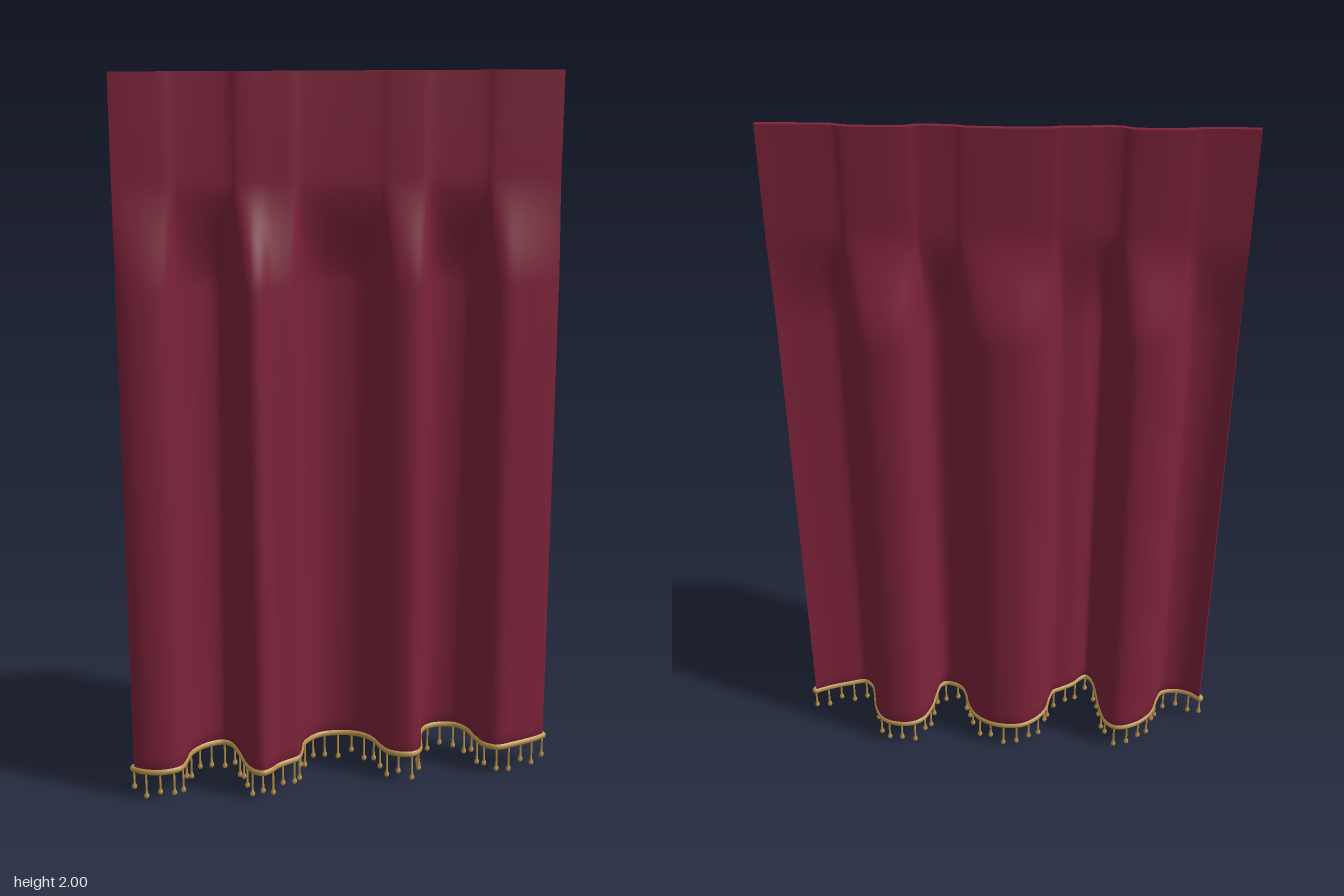
import * as THREE from 'three';

const velvet = new THREE.MeshStandardMaterial({ color: 0x7c2239 });
velvet.name = 'burgundy velvet';
const gold = new THREE.MeshStandardMaterial({ color: 0xb8924a });
gold.name = 'gold trim';

// Hem outline as x, z pairs from the right end to the left end
const HEM = [
  [-0.6, 0.015], [-0.57, 0.038], [-0.52, 0.05], [-0.475, 0.038], [-0.455, 0], [-0.44, -0.045],
  [-0.405, -0.085], [-0.36, -0.107], [-0.33, -0.108], [-0.308, -0.09], [-0.295, -0.05],
  [-0.286, 0], [-0.278, 0.055], [-0.264, 0.092], [-0.245, 0.106], [-0.224, 0.095],
  [-0.2, 0.07], [-0.165, 0.05], [-0.137, 0.034], [-0.123, 0], [-0.112, -0.045], [-0.085, -0.082],
  [-0.045, -0.107], [0, -0.111], [0.045, -0.102], [0.085, -0.077], [0.11, -0.035],
  [0.12, 0.008], [0.14, 0.047], [0.19, 0.067], [0.215, 0.052], [0.228, 0.005],
  [0.238, -0.045], [0.26, -0.09], [0.29, -0.108], [0.33, -0.11], [0.37, -0.096],
  [0.395, -0.055], [0.405, 0], [0.418, 0.045], [0.447, 0.068], [0.5, 0.057], [0.56, 0.038], [0.6, 0.02],
];
const hemCurve = new THREE.CatmullRomCurve3(HEM.map(([x, z]) => new THREE.Vector3(x, 0, z)), false, 'centripetal');
hemCurve.arcLengthDivisions = 1000;

const BOTTOM = 0.09, HALF_THICK = 0.006, SEGMENTS = 200;

// Fold depth at a height: almost flat header, then pleats opening towards the hem
function foldDepth(y) {
  const flat = 0.06, open = 0.72;
  if (y < 1.45) return THREE.MathUtils.lerp(1, open, (y - BOTTOM) / (1.45 - BOTTOM));
  const t = Math.min((y - 1.45) / 0.26, 1);
  return THREE.MathUtils.lerp(open, flat, 0.45 * t + 0.55 * t * t * (3 - 2 * t));
}

// Cloth: front and back sheets joined round the hem; header and side edges closed by crisp strips
function clothGeometry() {
  const heights = [2, 1.98, 1.85, 1.75];
  for (let y = 1.72; y > 1.4; y -= 0.02) heights.push(y);
  for (let y = 1.36; y > 0.16; y -= 0.1) heights.push(y);
  heights.push(0.13, BOTTOM);
  const base = hemCurve.getSpacedPoints(SEGMENTS);
  const rowPoints = (y, side) => {
    const k = foldDepth(y);
    return base.map((p, i) => {
      const a = base[Math.max(i - 1, 0)], b = base[Math.min(i + 1, SEGMENTS)];
      const dx = b.x - a.x, dz = (b.z - a.z) * k, len = Math.hypot(dx, dz);
      const x = p.x - side * HALF_THICK * dz / len;
      return [THREE.MathUtils.clamp(x, -0.6, 0.6), y, p.z * k + side * HALF_THICK * dx / len];
    });
  };
  const rows = [
    ...heights.map((y) => rowPoints(y, 1)),
    ...heights.slice().reverse().map((y) => rowPoints(y, -1)),
  ];
  const positions = [], index = [];
  const addGrid = (grid) => {
    const start = positions.length / 3, n = grid[0].length;
    grid.forEach((row) => row.forEach((p) => positions.push(...p)));
    for (let j = 0; j < grid.length - 1; j++) {
      for (let i = 0; i < n - 1; i++) {
        const a = start + j * n + i, c = a + n;
        index.push(a, c, a + 1, a + 1, c, c + 1);
      }
    }
  };
  addGrid(rows);
  addGrid([rows[rows.length - 1], rows[0]]);
  const count = heights.length, last = rows.length - 1;
  const edge = (i, flip) => heights.map((_, j) => {
    const pair = [rows[j][i], rows[last - j][i]];
    return flip ? pair.reverse() : pair;
  });
  addGrid(edge(SEGMENTS, false).slice(0, count));
  addGrid(edge(0, true).slice(0, count));
  const geo = new THREE.BufferGeometry();
  geo.setAttribute('position', new THREE.Float32BufferAttribute(positions, 3));
  geo.setIndex(index);
  geo.computeVertexNormals();
  return geo;
}

// Tassel hanging down from its origin: thin cord with a knob at the end
function tasselGeometry(length) {
  const profile = [
    [0, -length], [0.005, -length + 0.001], [0.0075, -length + 0.006], [0.0065, -length + 0.012],
    [0.0035, -length + 0.017], [0.003, -length + 0.03], [0.003, 0],
  ];
  return new THREE.LatheGeometry(profile.map(([r, y]) => new THREE.Vector2(r, y)), 8);
}

export function createModel() {
  const model = new THREE.Group();
  model.name = 'curtain';
  const add = (parent, name, geo, material, x = 0, y = 0, z = 0) => {
    const mesh = new THREE.Mesh(geo, material);
    mesh.name = name;
    mesh.position.set(x, y, z);
    parent.add(mesh);
  };

  add(model, 'cloth', clothGeometry(), velvet);

  // Rope along the hem with rounded ends
  const trimY = 0.086, ropeRadius = 0.011;
  add(model, 'hemRope', new THREE.TubeGeometry(hemCurve, 240, ropeRadius, 8), gold, 0, trimY, 0);
  for (const t of [0, 1]) {
    const p = hemCurve.getPoint(t);
    add(model, 'ropeEnd', new THREE.SphereGeometry(ropeRadius, 10, 8), gold, p.x, trimY, p.z);
  }

  // Fringe of tassels in a repeating set of lengths
  const fringe = new THREE.Group();
  fringe.name = 'fringe';
  const kinds = [0.06, 0.08, 0.066, 0.074, 0.082].map(tasselGeometry);
  const total = 48;
  for (let i = 0; i < total; i++) {
    const p = hemCurve.getPointAt(i / (total - 1));
    add(fringe, 'tassel', kinds[i % kinds.length], gold, p.x, 0.082, p.z);
  }
  model.add(fringe);
  return model;
}
